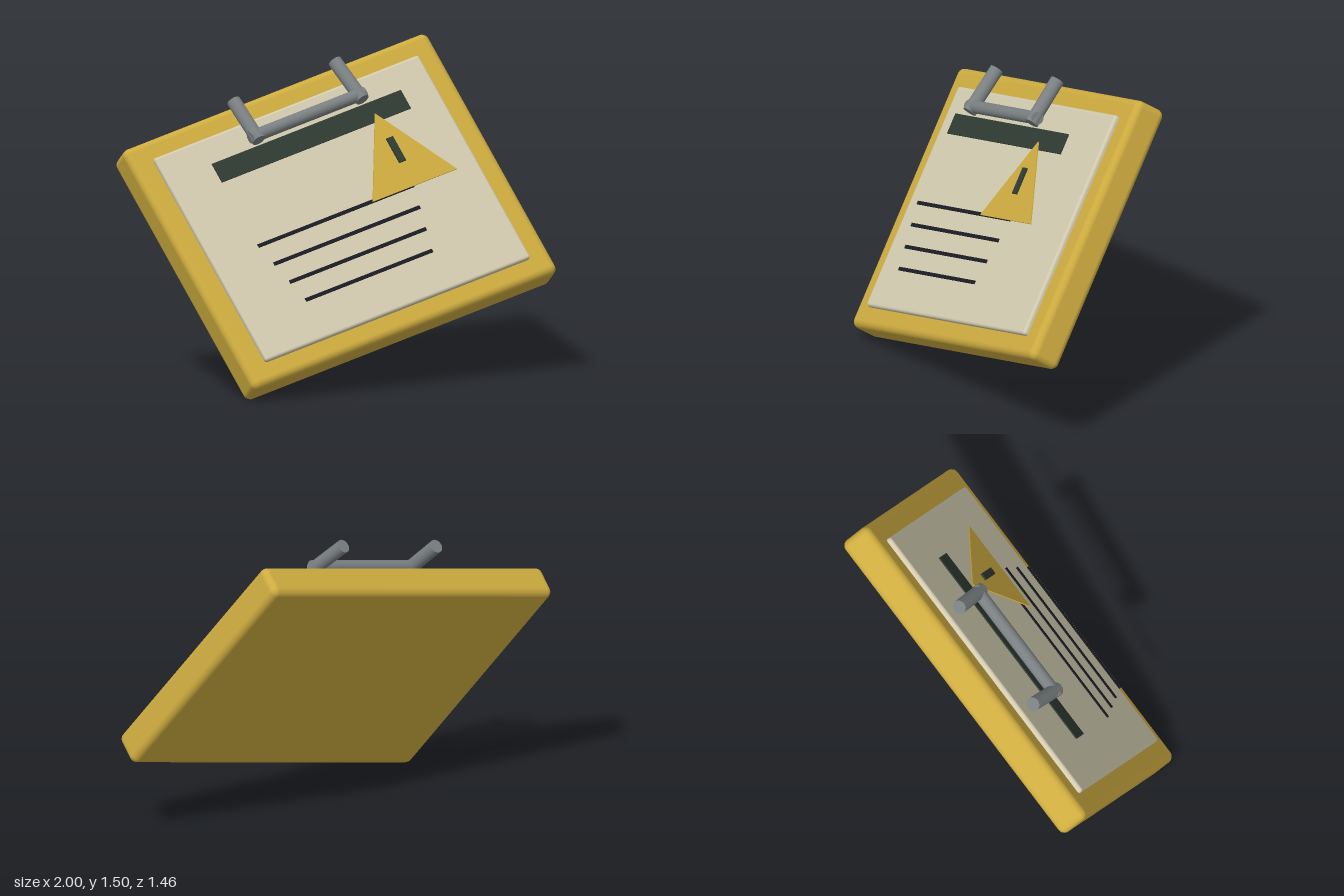
import * as THREE from 'three';
import { RoundedBoxGeometry } from 'three/addons/geometries/RoundedBoxGeometry.js';

const mat = (name, color) => {
  const m = new THREE.MeshStandardMaterial({ color });
  m.name = name;
  return m;
};

export function createModel() {
  const yellow = mat('mustard yellow', 0xcdab3f);
  const cream = mat('cream paper', 0xd2cbb0);
  const green = mat('dark green', 0x2e3a32);
  const ink = mat('dark ink', 0x1b1c24);
  const steel = mat('grey steel', 0x7a8082);

  // Built flat: x across, y up the board, z out of its face
  const board = new THREE.Group();
  board.name = 'clipboard';
  const add = (name, geometry, material, x = 0, y = 0, z = 0) => {
    const mesh = new THREE.Mesh(geometry, material);
    mesh.name = name;
    mesh.position.set(x, y, z);
    board.add(mesh);
    return mesh;
  };

  // Backing board and paper pad
  add('backingBoard', new RoundedBoxGeometry(1.684, 1.302, 0.16, 4, 0.034), yellow);
  add('paper', new RoundedBoxGeometry(1.466, 1.104, 0.05, 3, 0.014), cream, 0, 0, 0.078);

  // Heading bar and text lines, raised off the paper
  add('headingBar', new THREE.BoxGeometry(1.045, 0.1, 0.006), green, 0, 0.352, 0.174);
  for (let i = 0; i < 4; i++) {
    add('textLine', new THREE.BoxGeometry(0.86 - i * 0.053, 0.017, 0.005), ink, -0.091, -0.047 - i * 0.108, 0.178);
  }

  // Warning triangle with its upright mark
  const outline = new THREE.Shape([
    new THREE.Vector2(-0.233, -0.056),
    new THREE.Vector2(0.233, -0.056),
    new THREE.Vector2(0, 0.335),
  ]);
  const plate = new THREE.ExtrudeGeometry(outline, { depth: 0.006, bevelEnabled: false });
  add('warningTriangle', plate, yellow, 0.333, 0, 0.195);
  add('warningMark', new THREE.BoxGeometry(0.036, 0.13, 0.009), green, 0.333, 0.134, 0.2085);

  // Bent rod clip: a bar and two arms that meet in square elbows
  const rod = (name, radius, a, b, extend) => {
    const dir = b.clone().sub(a).normalize();
    const start = a.clone().addScaledVector(dir, -0.03);
    const end = b.clone().addScaledVector(dir, extend);
    const mesh = add(name, new THREE.CylinderGeometry(radius, radius, start.distanceTo(end), 20), steel);
    mesh.position.copy(start).lerp(end, 0.5);
    mesh.quaternion.setFromUnitVectors(new THREE.Vector3(0, 1, 0), dir);
  };
  const elbow = (s) => new THREE.Vector3(s * 0.286, 0.433, 0.24);
  rod('clipBar', 0.03, elbow(-1), elbow(1), 0.03);
  for (const s of [-1, 1]) {
    rod('clipArm', 0.033, elbow(s), new THREE.Vector3(s * 0.28, 0.637, 0.203), 0);
  }

  // Tilt the whole board so it balances on its lower corner
  board.rotation.set(-0.63, 0.35, 0.55);
  board.position.y = 0.752;

  const model = new THREE.Group();
  model.name = 'tiltedClipboard';
  model.add(board);
  return model;
}
